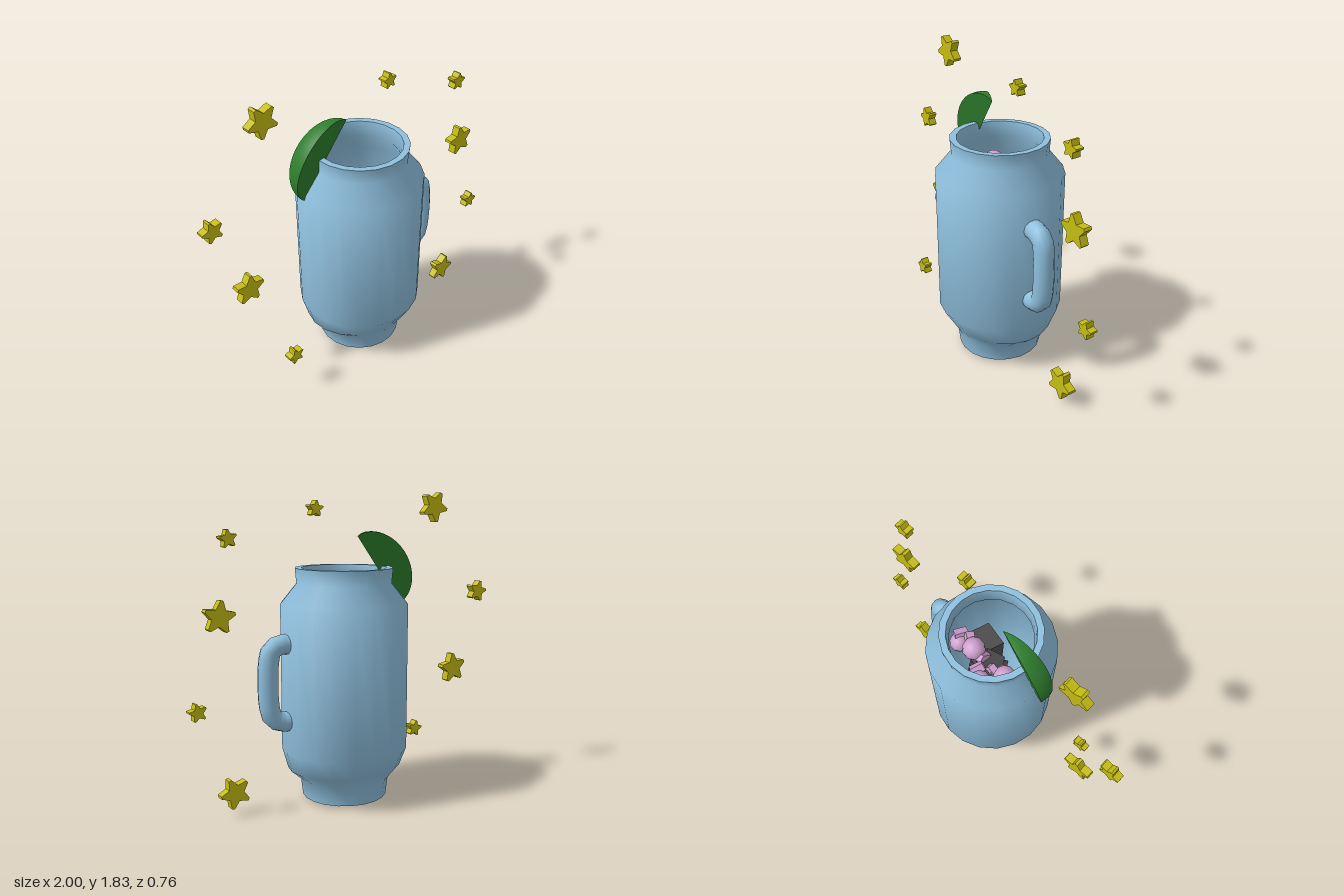
import * as THREE from 'three';
import { toCreasedNormals } from 'three/addons/utils/BufferGeometryUtils.js';

const mat = (name, color, extra = {}) => {
  const m = new THREE.MeshStandardMaterial({ color, ...extra });
  m.name = name;
  return m;
};

export function createModel() {
  const root = new THREE.Group();
  root.name = 'jarWithStars';
  const glass = mat('jarBlue', 0x8fc0de);
  const yellow = mat('starYellow', 0xc6be12);
  const green = mat('limeGreen', 0x2e7d2e);
  const pink = mat('berryPink', 0xcfa0cf);
  const dark = mat('darkCube', 0x505050);

  const add = (name, geometry, material, parent = root) => {
    const mesh = new THREE.Mesh(geometry, material);
    mesh.name = name;
    parent.add(mesh);
    return mesh;
  };

  // Jar: hollow lathe, outside going up and inside coming back down
  const profile = [
    [0, 0.02], [0.255, 0.02], [0.268, 0.13], [0.327, 0.2], [0.379, 0.32],
    [0.379, 1.19], [0.282, 1.31], [0.29, 1.4],
    [0.252, 1.4], [0.24, 1.31], [0.335, 1.17], [0.335, 0.33], [0.23, 0.15], [0.22, 0.06], [0, 0.06],
  ].map(([r, y]) => new THREE.Vector2(r, y));
  const jarGeo = new THREE.LatheGeometry(profile, 20);
  // the lower shoulder is a little wider from side to side
  const p = jarGeo.attributes.position;
  for (let i = 0; i < p.count; i++) {
    if (Math.abs(p.getY(i) - 0.2) < 0.001) {
      p.setX(i, p.getX(i) * 1.07);
      p.setZ(i, p.getZ(i) * 0.94);
    }
  }
  add('jar', toCreasedNormals(jarGeo, 0.95), glass).position.x = 0.03;

  // Handle: thick bent tube on the left side, ends buried in the jar wall
  const path = new THREE.CatmullRomCurve3([
    [0.38, 0.97], [0.44, 0.973], [0.497, 0.945], [0.517, 0.87],
    [0.517, 0.62], [0.497, 0.55], [0.44, 0.517], [0.38, 0.515],
  ].map(([x, y]) => new THREE.Vector3(x, y, 0)), false, 'centripetal');
  add('handle', new THREE.TubeGeometry(path, 14, 0.06, 12), glass);

  // Citrus wedge: narrow slice of a stretched sphere, with two flat cut faces
  const wedge = new THREE.Group();
  wedge.name = 'citrusWedge';
  const spread = 0.58;
  const size = [0.192, 0.255];
  const peel = new THREE.SphereGeometry(1, 4, 18, -spread / 2, spread);
  peel.scale(size[0], size[1], size[0]);
  add('peel', peel, green, wedge);
  const half = new THREE.Shape();
  half.absellipse(0, 0, size[0], size[1], Math.PI / 2, Math.PI * 1.5, false);
  half.closePath();
  for (const side of [1, -1]) {
    const face = new THREE.ShapeGeometry(half, 18);
    if (side < 0) face.rotateX(Math.PI).rotateY(spread / 2 * side);
    else face.rotateY(spread / 2);
    add('cutFace', face, green, wedge);
  }
  wedge.position.set(-0.208, 1.372, 0);
  wedge.rotation.z = -0.617;
  root.add(wedge);

  // Stars: blunt five-pointed plates floating round the jar
  const star = new THREE.Shape();
  for (let i = 0; i < 5; i++) {
    const a = Math.PI / 2 + i * Math.PI * 0.4;
    for (const [r, da] of [[0.97, -0.09], [0.97, 0.09], [0.53, Math.PI / 5]]) {
      const x = r * Math.cos(a + da), y = r * Math.sin(a + da);
      if (i === 0 && da < 0) star.moveTo(x, y);
      else star.lineTo(x, y);
    }
  }
  star.closePath();
  const starGeo = new THREE.ExtrudeGeometry(star, { depth: 1, bevelEnabled: false });
  starGeo.translate(0, 0, -0.5);
  // x, y, z, radius, turn in degrees
  const stars = [
    [-0.59, 1.75, 0, 0.097, 29], [0.22, 1.74, 0, 0.048, 5], [0.745, 1.58, 0, 0.053, -8],
    [-0.935, 1.215, 0, 0.068, 15], [0.805, 1.155, 0, 0.097, 8], [-0.755, 0.725, 0, 0.097, -6],
    [0.945, 0.635, 0, 0.054, -12], [-0.61, 0.282, 0.22, 0.054, 12], [0.74, 0.135, 0, 0.095, -23],
  ];
  for (const [x, y, z, r, turn] of stars) {
    const s = add('star', starGeo, yellow);
    s.position.set(x, y, z);
    s.scale.set(r, r, 0.05);
    s.rotation.set(0, 0.1, THREE.MathUtils.degToRad(turn));
  }

  // Contents: dark cubes stacked up the middle, berries and small chunks on top
  const contents = new THREE.Group();
  contents.name = 'contents';
  root.add(contents);
  const cubes = [
    [0.06, 0.121, 0, 0.14], [0.13, 0.3, 0.03, 0.17], [0.02, 0.45, -0.03, 0.17],
    [0.1, 0.62, 0.02, 0.17], [0.04, 0.78, -0.04, 0.17], [0.14, 0.93, 0.03, 0.17], [0.02, 0.98, -0.03, 0.12],
  ];
  cubes.forEach(([x, y, z, s], i) => {
    const c = add('darkCube', new THREE.BoxGeometry(s, s, s), dark, contents);
    c.position.set(x, y, z);
    c.rotation.set(0.785, i * 0.9, 0.615);
  });
  const berries = [
    [-0.06, 1.09, -0.17, 0.07], [0.12, 1.09, -0.06, 0.07], [-0.15, 1.17, -0.06, 0.066], [0.23, 1.02, -0.08, 0.06],
  ];
  for (const [x, y, z, r] of berries) {
    add('berry', new THREE.SphereGeometry(r, 10, 8), pink, contents).position.set(x, y, z);
  }
  const chunks = [[-0.04, -0.06], [0.02, -0.12], [0.05, -0.05], [0.2, -0.03], [-0.08, -0.04], [0.25, -0.05]];
  chunks.forEach(([x, z], i) => {
    const c = add('berryChunk', new THREE.BoxGeometry(0.05, 0.08, 0.04), pink, contents);
    c.position.set(x, 1.07, z);
    c.rotation.set(i, i * 0.7, 0.4);
  });

  return root;
}
